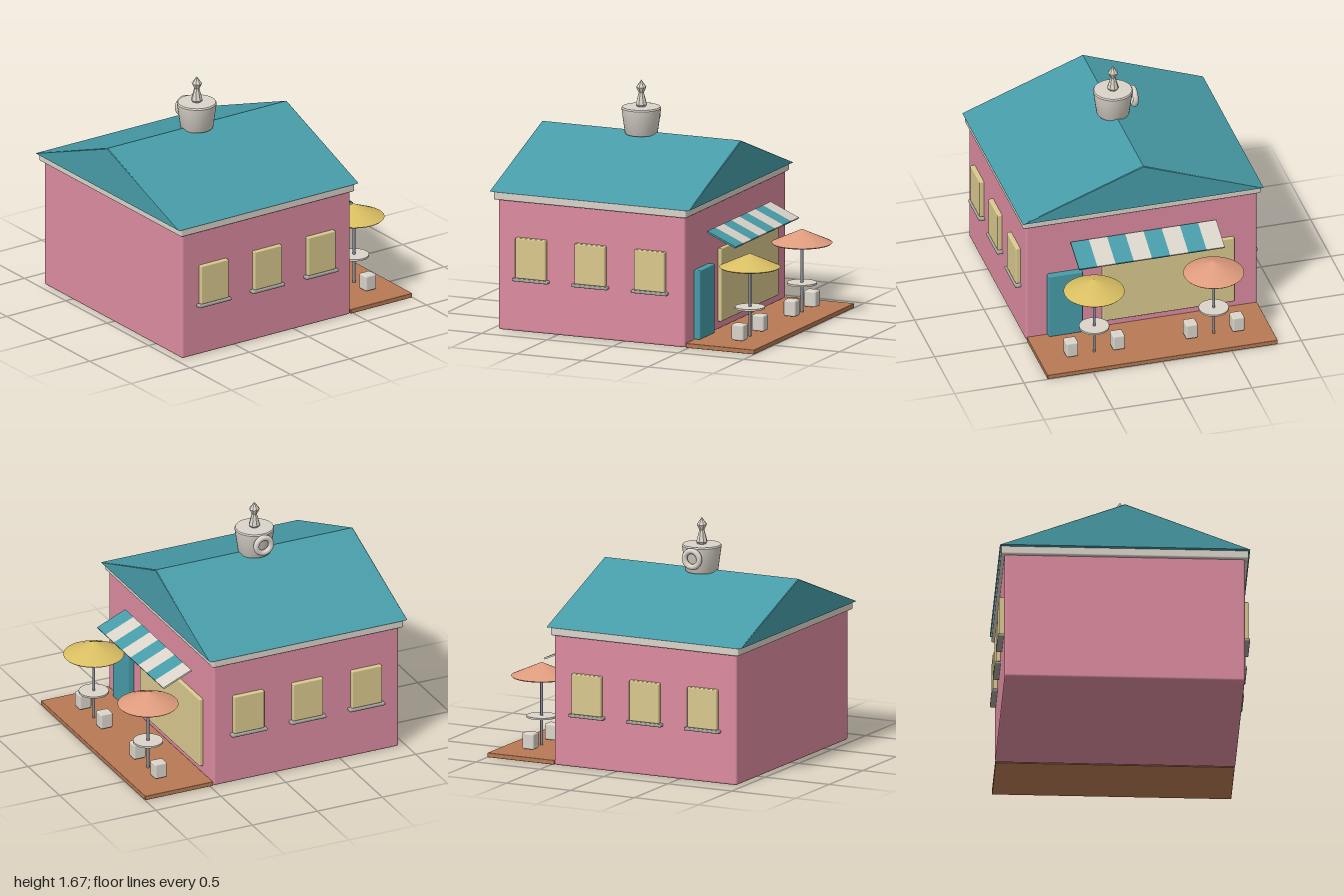
import * as THREE from 'three';
import { RoundedBoxGeometry } from 'three/addons/geometries/RoundedBoxGeometry.js';
import { toCreasedNormals } from 'three/addons/utils/BufferGeometryUtils.js';

const paint = (name, color) => {
  const m = new THREE.MeshStandardMaterial({ color });
  m.name = name;
  return m;
};

export function createModel() {
  const model = new THREE.Group();
  model.name = 'cafe';
  const pink = paint('pink wall', 0xdc8ca0);
  const teal = paint('teal', 0x479ca8);
  const cream = paint('cream', 0xdad4ca);
  const glass = paint('warm window', 0xdac98e);
  const wood = paint('terracotta deck', 0xb87a54);
  const metal = paint('grey metal', 0x868c98);
  const stone = paint('sill grey', 0xa6a49c);
  const yellow = paint('yellow parasol', 0xd9be62);
  const salmon = paint('salmon parasol', 0xdf9c7e);

  const add = (name, geo, mat, x = 0, y = 0, z = 0, parent = model) => {
    const mesh = new THREE.Mesh(geo, mat);
    mesh.name = name;
    mesh.position.set(x, y, z);
    parent.add(mesh);
    return mesh;
  };
  // Rounded box given by its limits on each axis
  const block = (name, mat, [x0, x1], [y0, y1], [z0, z1], r = 0.005, parent = model) =>
    add(name, new RoundedBoxGeometry(x1 - x0, y1 - y0, z1 - z0, 2, r), mat,
      (x0 + x1) / 2, (y0 + y1) / 2, (z0 + z1) / 2, parent);
  const lathe = (points, segments) => toCreasedNormals(
    new THREE.LatheGeometry(points.map(([r, y]) => new THREE.Vector2(r, y)), segments), 0.6);

  // Building shell
  block('walls', pink, [-0.95, 0.475], [0, 0.95], [-0.833, 0.833], 0.015);
  block('eavesTrim', cream, [-0.975, 0.492], [0.923, 0.984], [-0.858, 0.858], 0.01);

  // Gabled roof, ridge along x
  const gable = new THREE.Shape();
  gable.moveTo(-0.868, 0.98);
  gable.lineTo(0.868, 0.98);
  gable.lineTo(0, 1.308);
  gable.closePath();
  const bevel = 0.005;
  const roofGeo = new THREE.ExtrudeGeometry(gable, {
    depth: 1.52 - 2 * bevel, bevelEnabled: true, bevelSize: bevel,
    bevelThickness: bevel, bevelOffset: -bevel, bevelSegments: 1,
  });
  roofGeo.rotateY(Math.PI / 2);
  add('roof', roofGeo, teal, -1 + bevel);

  // Teapot ornament on the ridge
  const pot = new THREE.Group();
  pot.name = 'teapotOrnament';
  pot.position.set(-0.242, 0, 0);
  model.add(pot);
  add('pot', lathe([[0, 1.288], [0.108, 1.288], [0.114, 1.296], [0.138, 1.47], [0.132, 1.48], [0, 1.482]], 32),
    cream, 0, 0, 0, pot);
  add('finial', lathe([[0, 1.478], [0.028, 1.478], [0.041, 1.496], [0.018, 1.58], [0.037, 1.618], [0, 1.67]], 8),
    cream, 0, 0, 0, pot);
  add('potHandle', new THREE.TorusGeometry(0.057, 0.02, 12, 28), cream, 0, 1.4, -0.148, pot);

  // Three side windows with sills on each long wall
  for (const side of [-1, 1]) {
    for (const x of [-0.693, -0.24, 0.213]) {
      const win = new THREE.Group();
      win.name = 'sideWindow';
      win.position.set(x, 0, side * 0.83);
      model.add(win);
      block('pane', glass, [-0.116, 0.116], [0.382, 0.668], [-0.035, 0.035], 0.008, win);
      block('sill', stone, [-0.136, 0.136], [0.36, 0.382], [-0.045, 0.045], 0.008, win);
    }
  }

  // Entrance side
  block('door', teal, [0.47, 0.52], [0.03, 0.522], [0.435, 0.682], 0.008);
  block('shopWindow', glass, [0.47, 0.502], [0.078, 0.597], [-0.663, 0.288], 0.008);

  // Sloping striped awning
  const stripe = 1.05 / 8;
  for (let i = 0; i < 8; i++) {
    const slat = add('awningStripe', new THREE.BoxGeometry(0.235, 0.012, stripe), i % 2 ? teal : cream,
      0.606, 0.716, -0.53 + (i + 0.5) * stripe);
    slat.rotation.z = -0.405;
  }

  // Terrace
  block('deck', wood, [0.478, 1], [0, 0.032], [-0.83, 0.83], 0.004);
  for (const [z, mat] of [[0.432, yellow], [-0.43, salmon]]) {
    const set = new THREE.Group();
    set.name = 'parasolTable';
    set.position.set(0.785, 0, z);
    model.add(set);
    add('pole', new THREE.CylinderGeometry(0.01, 0.01, 0.52, 12), metal, 0, 0.29, 0, set);
    add('tableTop', new THREE.CylinderGeometry(0.105, 0.105, 0.013, 28), cream, 0, 0.236, 0, set);
    add('parasol', lathe([[0, 0.518], [0.205, 0.518], [0.212, 0.525], [0, 0.62]], 32), mat, 0, 0, 0, set);
    for (const dz of [-0.168, 0.168]) {
      block('stool', cream, [-0.046, 0.046], [0.04, 0.154], [dz - 0.043, dz + 0.043], 0.012, set);
    }
  }
  return model;
}
